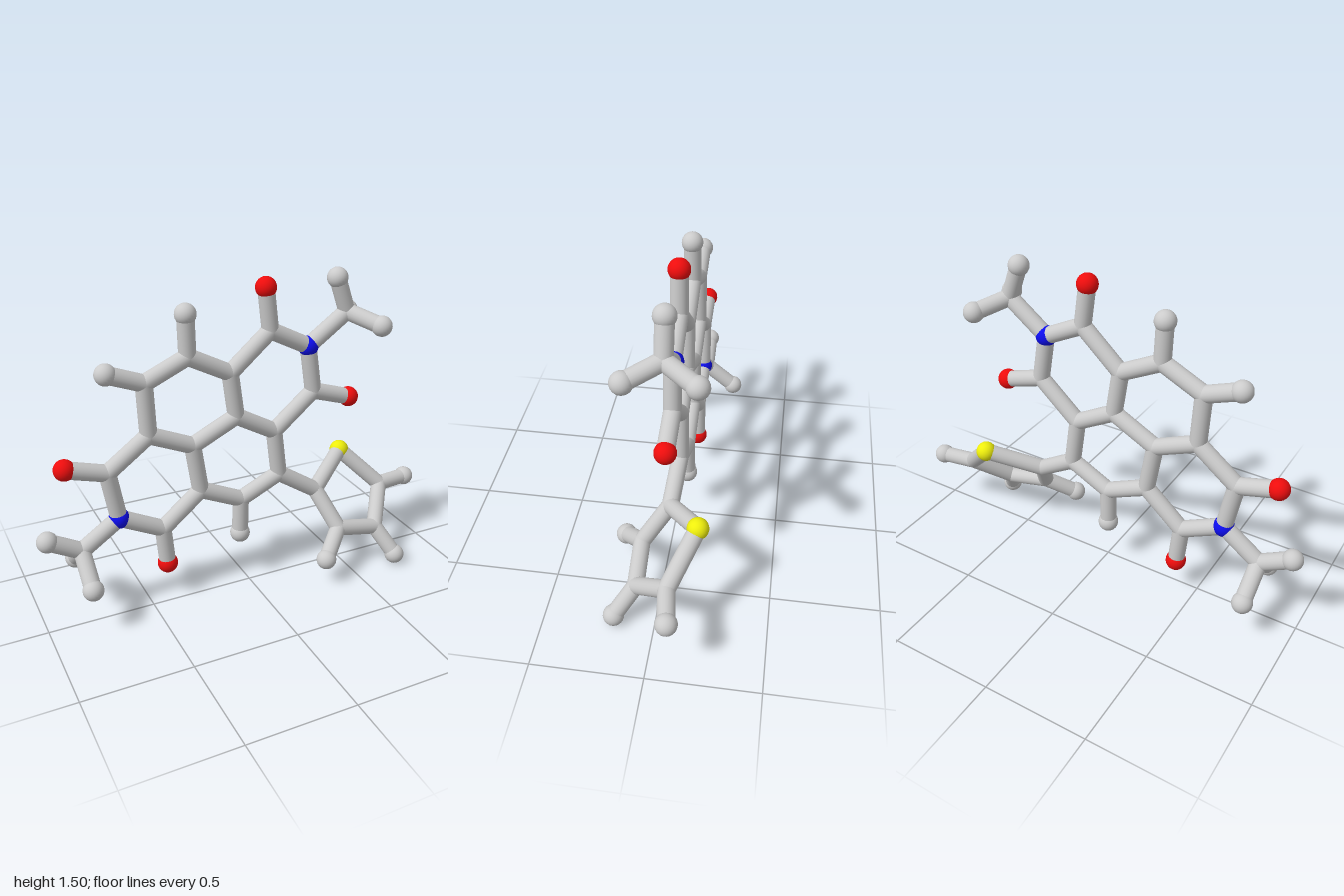
import * as THREE from 'three';

const BALL = 0.048, ROD = 0.039;
const materials = {
  C: new THREE.MeshStandardMaterial({ color: 0xcccccc }),
  O: new THREE.MeshStandardMaterial({ color: 0xee0d0d }),
  N: new THREE.MeshStandardMaterial({ color: 0x0d0dee }),
  S: new THREE.MeshStandardMaterial({ color: 0xeeee0d }),
};
materials.H = materials.C;
const names = { C: 'carbonBall', O: 'oxygenBall', N: 'nitrogenBall', S: 'sulfurBall', H: 'hydrogenBall' };

// The fused ring sheet is very slightly tilted; z follows from x and y when omitted
const sheetZ = (x, y) => -0.05 + 0.02 * y + 0.01 * x;

// Atom key (first letter = element): [x, y, z?]
const atoms = {
  // upper and lower central rings
  C1: [-0.48, 1.10], C2: [-0.28, 1.19], C3: [-0.08, 1.085], C4: [-0.05, 0.87],
  C5: [-0.265, 0.765], C6: [-0.47, 0.855], C9: [0.145, 0.76], C10: [0.175, 0.53],
  C11: [-0.025, 0.435], C12: [-0.23, 0.53],
  H1: [-0.645, 1.165], H2: [-0.285, 1.38], H11: [-0.028, 0.25],
  // right imide ring
  C7: [0.115, 1.255], O1: [0.09, 1.453], N1: [0.31, 1.155], C8: [0.345, 0.93], O2: [0.54, 0.867],
  // left imide ring
  C13: [-0.665, 0.71], O3: [-0.85, 0.765], N2: [-0.625, 0.475], C14: [-0.42, 0.37], O4: [-0.403, 0.178],
  // methyl groups
  C15: [0.505, 1.295], H3: [0.447, 1.458], H4: [0.604, 1.25, 0.125], H5: [0.6, 1.255, -0.163],
  C16: [-0.805, 0.35], H6: [-0.953, 0.433], H7: [-0.803, 0.225, 0.09], H8: [-0.803, 0.23, -0.2],
  // five-sided side ring
  C17: [0.37, 0.405, -0.02], S1: [0.595, 0.512, -0.172], C18: [0.78, 0.325, -0.065],
  C19: [0.66, 0.18, 0.092], C20: [0.44, 0.23, 0.1],
  H18: [0.953, 0.32, -0.09], H19: [0.73, 0.049, 0.183], H20: [0.32, 0.136, 0.198],
};

// Each chain joins consecutive atoms with rods
const chains = [
  'C1 C2 C3 C4 C5 C6 C1', 'C4 C9 C10 C11 C12 C5', 'C1 H1', 'C2 H2', 'C11 H11',
  'C3 C7 N1 C8 C9', 'C7 O1', 'C8 O2', 'C6 C13 N2 C14 C12', 'C13 O3', 'C14 O4',
  'N1 C15 H3', 'H4 C15 H5', 'N2 C16 H6', 'H7 C16 H8',
  'C10 C17 S1 C18 C19 C20 C17', 'C18 H18', 'C19 H19', 'C20 H20',
];

export function createModel() {
  const model = new THREE.Group();
  const balls = new THREE.Group();
  const rods = new THREE.Group();
  balls.name = 'atoms';
  rods.name = 'bonds';
  model.add(balls, rods);

  // Balls; joints inside the sheet are only as thick as the rods
  const ballGeometry = new THREE.SphereGeometry(BALL, 24, 16);
  const jointGeometry = new THREE.SphereGeometry(ROD, 24, 16);
  const position = {};
  for (const [key, [x, y, z = sheetZ(x, y)]] of Object.entries(atoms)) {
    const element = key[0];
    const ball = new THREE.Mesh(element === 'C' ? jointGeometry : ballGeometry, materials[element]);
    ball.name = names[element];
    ball.position.set(x, y, z);
    position[key] = ball.position;
    balls.add(ball);
  }

  // Rods between neighbouring atoms
  const rodGeometry = new THREE.CylinderGeometry(ROD, ROD, 1, 20, 1, true);
  const up = new THREE.Vector3(0, 1, 0);
  for (const chain of chains) {
    const keys = chain.split(' ');
    for (let i = 1; i < keys.length; i++) {
      const a = position[keys[i - 1]], b = position[keys[i]];
      const direction = b.clone().sub(a);
      const rod = new THREE.Mesh(rodGeometry, materials.C);
      rod.name = 'bondRod';
      rod.scale.y = direction.length();
      rod.position.copy(a).add(b).multiplyScalar(0.5);
      rod.quaternion.setFromUnitVectors(up, direction.normalize());
      rods.add(rod);
    }
  }
  return model;
}
